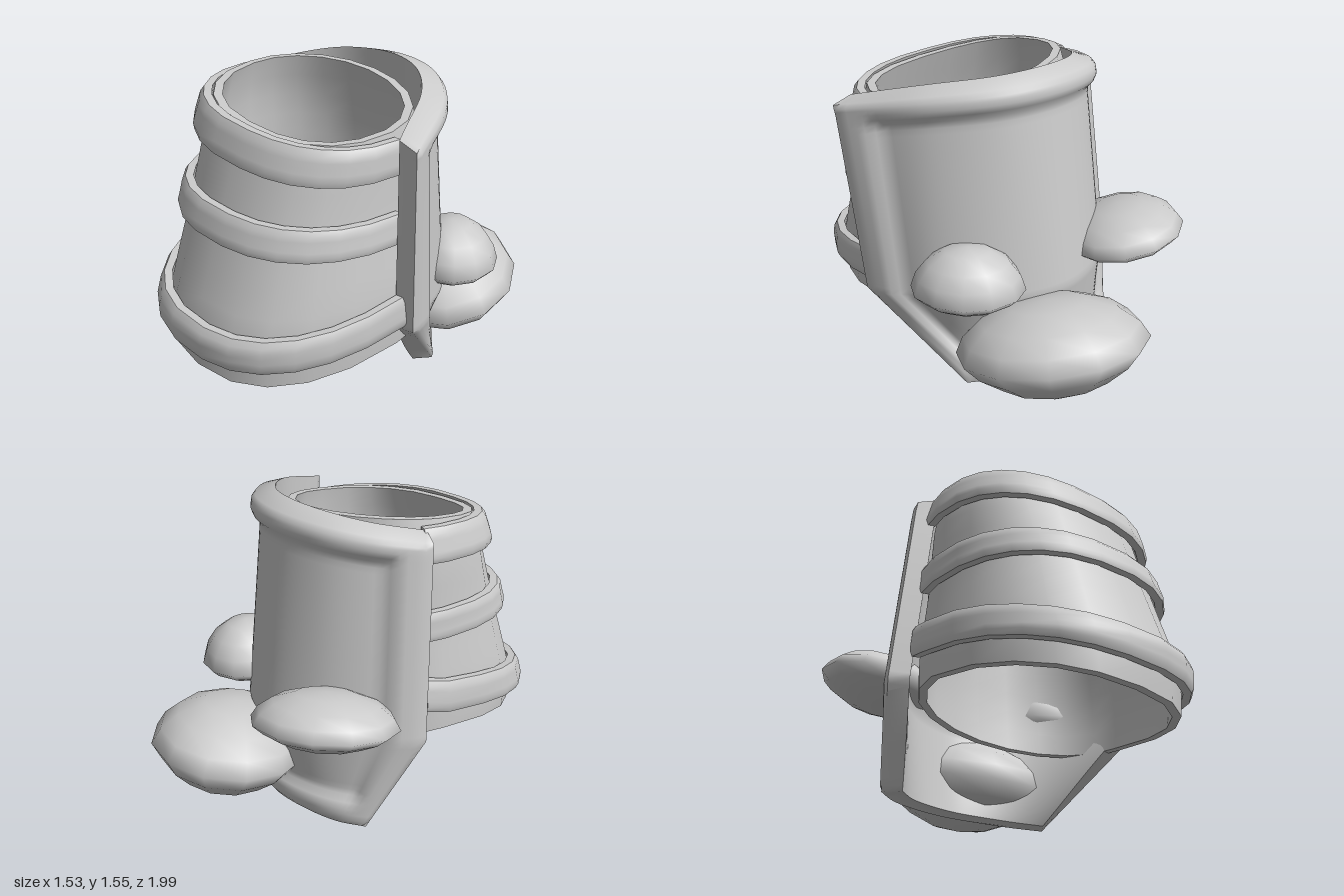
import * as THREE from 'three';
import { toCreasedNormals } from 'three/addons/utils/BufferGeometryUtils.js';

const grey = new THREE.MeshStandardMaterial({ color: 0xcccccc });
const { lerp, smoothstep } = THREE.MathUtils;

function addMesh(group, name, geometry, crease) {
  const mesh = new THREE.Mesh(toCreasedNormals(geometry, crease), grey);
  mesh.name = name;
  group.add(mesh);
  return mesh;
}

// Closed thick sheet between an outer and an inner surface, both (u, v) -> Vector3
function shell(outer, inner, nu, nv) {
  const pos = [], index = [], n = 2 * (nu + 1);
  for (let j = 0; j <= nv; j++) {
    for (let i = 0; i <= nu; i++) pos.push(...outer(i / nu, j / nv).toArray());
    for (let i = nu; i >= 0; i--) pos.push(...inner(i / nu, j / nv).toArray());
  }
  for (let j = 0; j < nv; j++) {
    for (let i = 0; i < n; i++) {
      const a = j * n + i, b = j * n + (i + 1) % n;
      index.push(a, a + n, b, b, a + n, b + n);
    }
  }
  const top = nv * n;
  for (let i = 0; i < nu; i++) {
    const a = i, b = i + 1, c = n - 1 - i, d = n - 2 - i;
    index.push(a, b, c, b, d, c);
    index.push(top + a, top + c, top + b, top + b, top + c, top + d);
  }
  const geometry = new THREE.BufferGeometry();
  geometry.setAttribute('position', new THREE.Float32BufferAttribute(pos, 3));
  geometry.setIndex(index);
  return geometry;
}

// Cuff size by height: [y, half width, reach to the front, reach to the back]
const cuffSizes = [
  [0.3, 0.56, 0.74, 0.45],
  [0.5, 0.58, 0.745, 0.47],
  [0.65, 0.575, 0.69, 0.48],
  [1.0, 0.53, 0.57, 0.48],
  [1.2, 0.525, 0.50, 0.46],
  [1.35, 0.52, 0.445, 0.43],
  [1.5, 0.48, 0.39, 0.39],
];

// Point on the cuff at an angle (0 = +x, PI/2 = front), pushed out by offset
function cuffPoint(angle, y, offset) {
  let k = 0;
  while (k < cuffSizes.length - 2 && y > cuffSizes[k + 1][0]) k++;
  const a = cuffSizes[k], b = cuffSizes[k + 1];
  const t = (y - a[0]) / (b[0] - a[0]);
  const size = (i) => lerp(a[i], b[i], t) + offset;
  const c = Math.cos(angle), s = Math.sin(angle);
  const power = s > 0 ? 0.84 : 1;
  const squared = (value) => Math.sign(value) * Math.abs(value) ** power;
  return new THREE.Vector3(0.018 + size(1) * squared(c), y, 0.2 + size(s > 0 ? 2 : 3) * squared(s));
}

function makeCuff(group) {
  const side = (offset) => (u, v) => {
    const angle = u * Math.PI * 2, c = Math.cos(angle), s = Math.sin(angle);
    const bottom = 0.41 - 0.105 * Math.max(s, 0) - 0.05 * c;
    const top = 1.45 - 0.05 * c - 0.04 * s;
    return cuffPoint(angle, lerp(bottom, top, v), offset);
  };
  addMesh(group, 'cuff', shell(side(0), side(-0.04), 20, 10), 0.9);
}

// Strap over the front: lower and upper edge, sideways tilt, lift towards the ends
function makeStrap(group, name, low, high, tilt, lift) {
  const side = (offset) => (u, v) => {
    const angle = lerp(0, Math.PI + 0.25, u);
    const shift = -tilt * Math.cos(angle) + lift * (1 - Math.sin(angle));
    return cuffPoint(angle, lerp(low, high, v) + shift, offset(v));
  };
  const outer = side((v) => (v === 0 || v === 1 ? 0.045 : 0.056));
  addMesh(group, name, shell(outer, side(() => 0.008), 14, 6), 0.8);
}

// Back plate: three rows of guide points, joined by straight lines upwards
function makePlate(group) {
  const rows = [
    [[-0.54, 0.04, -0.25], [-0.42, 0.04, -0.34], [-0.25, 0.045, -0.41], [-0.05, 0.05, -0.45],
      [0.15, 0.045, -0.42], [0.3, 0.03, -0.35], [0.43, 0.01, -0.25]],
    [[-0.68, 0.5, 0.0], [-0.55, 0.5, -0.23], [-0.33, 0.5, -0.43], [0.0, 0.5, -0.53],
      [0.32, 0.49, -0.43], [0.56, 0.48, -0.2], [0.7, 0.46, 0.2]],
    [[-0.6, 1.47, 0.07], [-0.46, 1.51, -0.17], [-0.28, 1.54, -0.32], [0.0, 1.555, -0.395],
      [0.28, 1.545, -0.34], [0.55, 1.51, -0.12], [0.77, 1.42, 0.29]],
  ].map((row) => new THREE.CatmullRomCurve3(row.map((p) => new THREE.Vector3(...p))));
  const knee = 0.32;
  const at = (u, v, depth) => {
    const k = v < knee ? 0 : 1;
    const t = k ? (v - knee) / (1 - knee) : v / knee;
    const p = rows[k].getPointAt(u).lerp(rows[k + 1].getPointAt(u), t);
    const inward = new THREE.Vector3(0.04 - p.x, 0, 0.3 - p.z).normalize();
    return p.addScaledVector(inward, depth);
  };
  // Raised rim with a softened edge around a sunken panel, top edge sloping outwards
  const outer = (u, v) => {
    const edge = Math.min(u, 1 - u, v * 1.1, (1 - v) * 1.1);
    const depth = 0.05 * smoothstep(edge, 0.07, 0.12) + 0.015 * (1 - smoothstep(edge, 0, 0.02));
    const p = at(u, v, depth);
    p.y -= 0.03 * smoothstep(v, 0.94, 1);
    return p;
  };
  addMesh(group, 'backPlate', shell(outer, (u, v) => at(u, v, 0.115), 50, 50), 1.2);
}

// Lens-shaped oval mushroom cap; its long axis is turned by spin
function makeMushroom(group, name, { centre, long, short, up, down, tiltX, tiltZ, spin }) {
  const profile = [
    [0, -down], [0.3, -0.93 * down], [0.6, -0.69 * down], [0.85, -0.34 * down], [1, 0],
    [0.91, 0.34 * up], [0.72, 0.66 * up], [0.4, 0.92 * up], [0, up],
  ].map(([r, y]) => new THREE.Vector2(r, y));
  const mesh = addMesh(group, name, new THREE.LatheGeometry(profile, 12), Math.PI);
  mesh.scale.set(long, 1, short);
  mesh.position.set(...centre);
  mesh.rotation.set(tiltX, spin, tiltZ, 'XZY');
}

export function createModel() {
  const model = new THREE.Group();
  model.name = 'armGuard';

  makeCuff(model);
  makeStrap(model, 'upperStrap', 1.26, 1.42, 0.05, 0.01);
  makeStrap(model, 'middleStrap', 0.92, 1.06, 0.025, 0);
  makeStrap(model, 'lowerStrap', 0.40, 0.56, 0.045, 0.125);
  makePlate(model);

  const turn = Math.PI / 4;
  makeMushroom(model, 'largeMushroom', {
    centre: [0.175, 0.295, -0.58], long: 0.465, short: 0.39, up: 0.23, down: 0.245,
    tiltX: 0.2, tiltZ: 0, spin: -turn,
  });
  makeMushroom(model, 'rightMushroom', {
    centre: [-0.455, 0.64, -0.42], long: 0.35, short: 0.305, up: 0.15, down: 0.12,
    tiltX: 0.15, tiltZ: -0.12, spin: turn,
  });
  makeMushroom(model, 'leftMushroom', {
    centre: [0.46, 0.59, -0.305], long: 0.27, short: 0.23, up: 0.21, down: 0.11,
    tiltX: 0, tiltZ: 0, spin: -turn,
  });

  return model;
}
